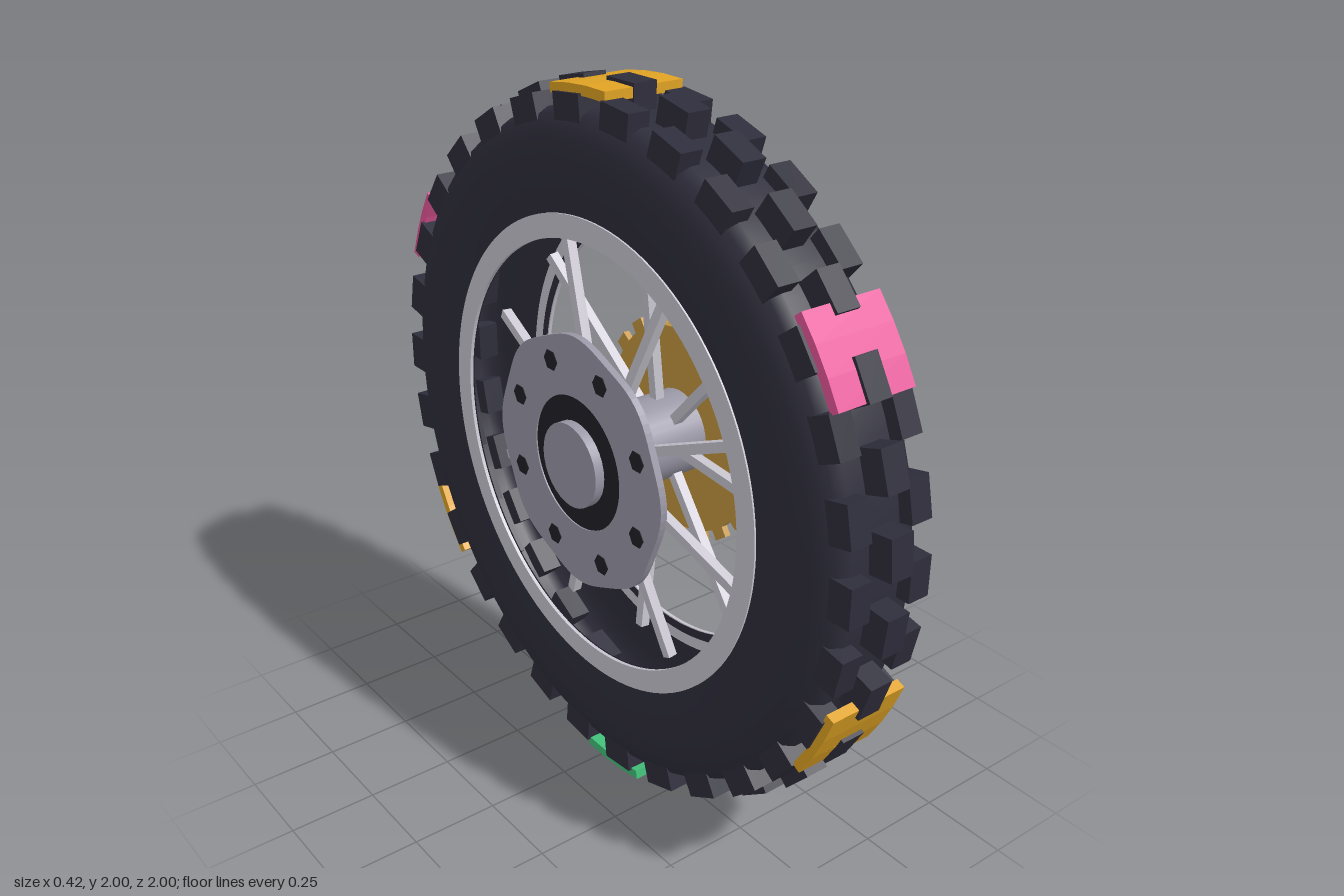
import * as THREE from 'three';

const mat = (name, color, side = THREE.FrontSide) => {
  const m = new THREE.MeshStandardMaterial({ color, side });
  m.name = name;
  return m;
};

export function createModel() {
  const rubber = mat('rubber', 0x2e2d3b, THREE.DoubleSide);
  const silver = mat('silver', 0xcac7d2);
  const steel = mat('steel', 0x9a97a6);
  const bronze = mat('bronze', 0xc4953f);
  const black = mat('black', 0x1f1f27);
  const gold = mat('gold', 0xe0a324);
  const pink = mat('pink', 0xf25ca2);
  const green = mat('green', 0x42c07a);

  const model = new THREE.Group();
  model.name = 'wheel';
  const wheel = new THREE.Group();
  wheel.name = 'wheelAssembly';
  wheel.position.y = 1;
  model.add(wheel);

  const add = (name, geometry, material) => {
    const mesh = new THREE.Mesh(geometry, material);
    mesh.name = name;
    wheel.add(mesh);
    return mesh;
  };
  const rad = THREE.MathUtils.degToRad;

  // Block spanning radii r0..r1 at an angle measured from +z towards +y
  const block = (name, material, angle, x, width, r0, r1, length) => {
    const g = new THREE.BoxGeometry(width, r1 - r0, length);
    g.translate(x, (r0 + r1) / 2, 0);
    g.rotateX(Math.PI / 2 - rad(angle));
    return add(name, g, material);
  };
  // Flat plate whose thickness runs along the axle from x0 to x1
  const plate = (name, shape, x0, x1, material) => {
    const g = new THREE.ExtrudeGeometry(shape, { depth: x1 - x0, bevelEnabled: false, curveSegments: 64 });
    g.rotateY(Math.PI / 2);
    g.translate(x0, 0, 0);
    return add(name, g, material);
  };
  // Cylinder along the axle
  const rod = (name, r, x0, x1, sides, material) => {
    const g = new THREE.CylinderGeometry(r, r, x1 - x0, sides);
    g.rotateZ(-Math.PI / 2);
    g.translate((x0 + x1) / 2, 0, 0);
    return add(name, g, material);
  };
  const circle = (r, x = 0, y = 0) => new THREE.Path().absarc(x, y, r, 0, Math.PI * 2, true);
  const ring = (outer, inner) => {
    const s = new THREE.Shape().absarc(0, 0, outer, 0, Math.PI * 2, false);
    s.holes.push(circle(inner));
    return s;
  };

  // Tyre shell, open towards the hub
  const half = [[0.6, 0.13], [0.66, 0.138], [0.72, 0.15], [0.8, 0.155], [0.86, 0.147], [0.915, 0.122], [0.93, 0.09]];
  const profile = [
    ...half.map(([r, x]) => new THREE.Vector2(r, -x)),
    ...half.slice().reverse().map(([r, x]) => new THREE.Vector2(r, x)),
  ];
  const tyre = new THREE.LatheGeometry(profile, 90);
  tyre.rotateZ(-Math.PI / 2);
  add('tyre', tyre, rubber);

  // Tread: centre knobs alternate with pairs of shoulder knobs
  for (let i = 0; i < 30; i++) {
    block('centreKnob', rubber, i * 12 + 6, 0, 0.07, 0.88, 0.999, 0.11);
    for (const side of [-1, 1]) block('shoulderKnob', rubber, i * 12, side * 0.097, 0.065, 0.88, 0.968, 0.11);
  }

  // Coloured patches wrapped over the tread, three slabs each
  [gold, pink, gold, green, gold, pink].forEach((material, i) => {
    for (const step of [-1, 0, 1]) {
      block('treadPatch', material, 93.8 - i * 60 + step * 4.5, 0, 0.24, 0.963, 0.99, 0.078);
    }
  });

  // Rim rings on both sides
  plate('rimRing', ring(0.665, 0.6), 0.134, 0.144, silver);
  plate('rimRing', ring(0.665, 0.6), -0.144, -0.134, silver);

  // Spokes alternate between the two ends of the hub
  for (let i = 0; i < 16; i++) {
    const side = i % 2 ? -1 : 1;
    const inner = new THREE.Vector3(side * 0.09, 0.1, 0);
    const outer = new THREE.Vector3(side * 0.04, 0.598, 0);
    const dir = outer.clone().sub(inner);
    const g = new THREE.BoxGeometry(0.028, dir.length(), 0.028);
    g.rotateZ(-Math.atan2(dir.x, dir.y));
    g.translate((inner.x + outer.x) / 2, (inner.y + outer.y) / 2, 0);
    g.rotateX(rad(i * 22.5));
    add('spoke', g, silver);
  }

  // Hub
  rod('hub', 0.12, -0.21, 0.207, 32, steel);

  // Sprocket with square teeth
  const teeth = 20;
  const sprocket = new THREE.Shape();
  for (let i = 0; i < teeth; i++) {
    [[0, 0.3], [0.48, 0.3], [0.52, 0.33], [0.98, 0.33]].forEach(([t, r], k) => {
      const a = ((i + t + 0.25) / teeth) * Math.PI * 2;
      const method = i + k === 0 ? 'moveTo' : 'lineTo';
      sprocket[method](r * Math.cos(a), r * Math.sin(a));
    });
  }
  plate('sprocket', sprocket, 0.165, 0.184, bronze);

  // Brake disc with a wavy edge, dark centre and eight dark bolts
  const disc = new THREE.Shape();
  for (let i = 0; i < 96; i++) {
    const a = (i / 96) * Math.PI * 2;
    const r = 0.357 + 0.006 * Math.cos(8 * a);
    disc[i ? 'lineTo' : 'moveTo'](r * Math.cos(a), r * Math.sin(a));
  }
  disc.holes.push(circle(0.19));
  plate('brakeDisc', disc, -0.186, -0.166, steel);
  rod('discCentre', 0.192, -0.182, -0.17, 40, black);
  for (let i = 0; i < 8; i++) {
    const a = rad(22.5 + i * 45);
    const bolt = rod('discBolt', 0.03, -0.188, -0.164, 6, black);
    bolt.position.set(0, 0.285 * Math.sin(a), 0.285 * Math.cos(a));
  }

  return model;
}
